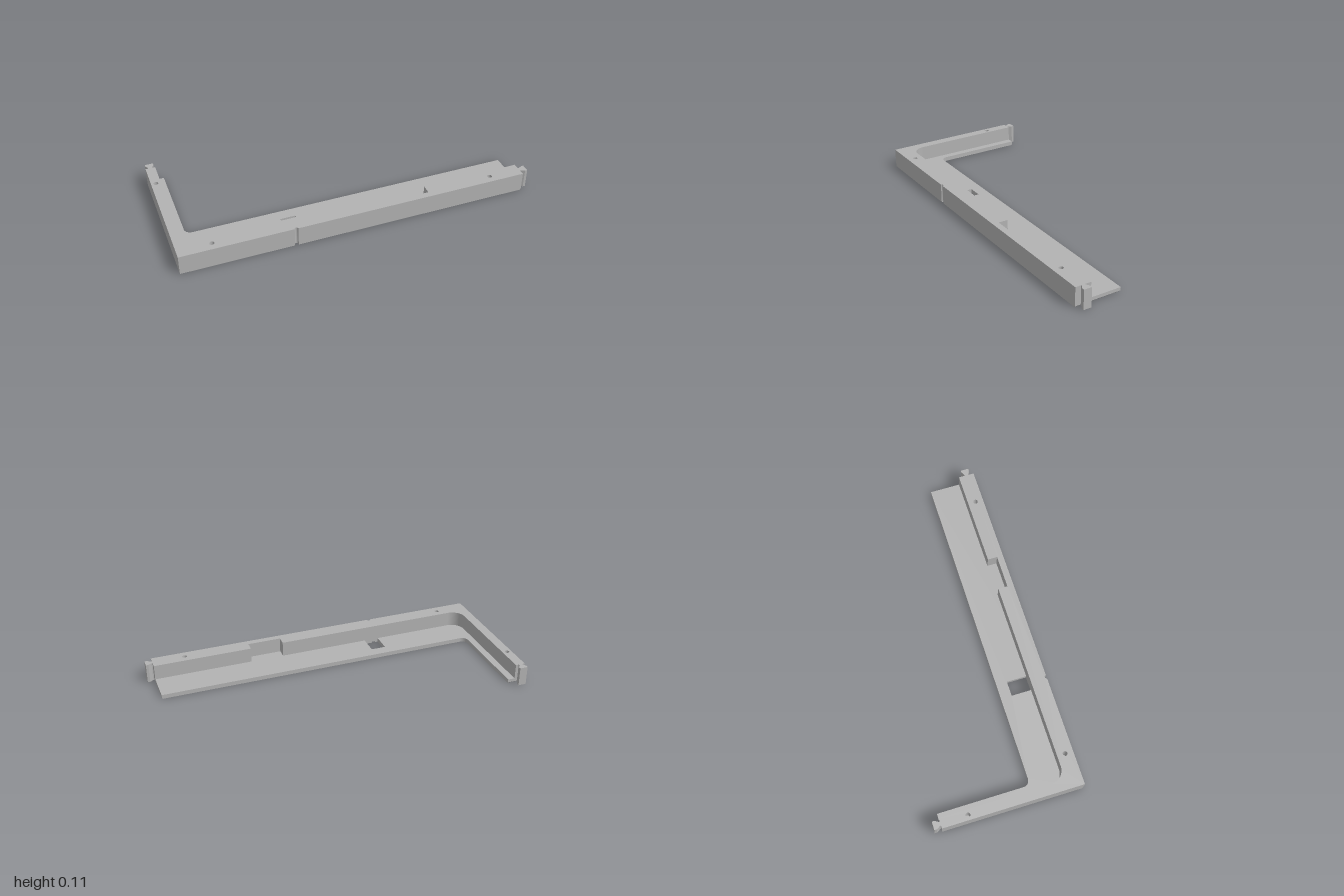
import * as THREE from 'three';

const H = 0.111, FLOOR = 0.0245, SKIN = 0.006;   // total, floor and bottom layer heights
const L = -1, R = 0.96, FRONT = 0.415, BACK = -0.377;
const GROOVE = -0.375, GR = 0.01;                // cable groove centre and radius
const WINDOW = [[-0.4, 0.324], [-0.4, 0.21], [-0.315, 0.21], [-0.315, 0.324]];
const BOLTS = [[-0.813, 0.369], [0.775, 0.369], [-0.973, -0.226]];

// Plan shapes are drawn as (x, -z) and extruded upwards
function slab(name, shape, y0, y1, material) {
  const geometry = new THREE.ExtrudeGeometry(shape, { depth: y1 - y0, bevelEnabled: false, curveSegments: 20 });
  geometry.rotateX(-Math.PI / 2).translate(0, y0, 0);
  const mesh = new THREE.Mesh(geometry, material);
  mesh.name = name;
  return mesh;
}

function polygon(points) {
  return new THREE.Shape(points.map(([x, z]) => new THREE.Vector2(x, -z)));
}

// L-shaped outline with a rounded inner corner; groove is 'round' or 'window'
function outline(innerX, innerZ, radius, groove, pocket) {
  const s = new THREE.Shape();
  s.moveTo(L, -FRONT);
  s.lineTo(GROOVE - GR, -FRONT);
  if (groove === 'window') {
    s.lineTo(GROOVE - GR, -0.324);
    WINDOW.forEach(([x, z]) => s.lineTo(x, -z));
    s.lineTo(GROOVE + GR, -0.324);
    s.lineTo(GROOVE + GR, -FRONT);
  } else {
    s.absarc(GROOVE, -FRONT, GR, Math.PI, 0, true);
  }
  s.lineTo(R, -FRONT);
  s.lineTo(R, -innerZ);
  if (pocket) {
    [[0.395, innerZ], [0.395, 0.379], [0.203, 0.379], [0.203, innerZ]].forEach(([x, z]) => s.lineTo(x, -z));
  }
  s.lineTo(innerX + radius, -innerZ);
  s.absarc(innerX + radius, -innerZ + radius, radius, -Math.PI / 2, -Math.PI, true);
  s.lineTo(innerX, -BACK);
  s.lineTo(L, -BACK);
  s.closePath();
  return s;
}

// Flared connector that slides into the neighbouring piece
function dovetail(name, x, z, turn, material) {
  const mesh = slab(name, polygon([[-0.004, 0.011], [0.006, 0.011], [0.026, 0.023], [0.04, 0.023],
    [0.04, -0.023], [0.026, -0.023], [0.006, -0.011], [-0.004, -0.011]]), 0, H, material);
  mesh.position.set(x, 0, z);
  mesh.rotation.y = turn;
  return mesh;
}

export function createModel() {
  const model = new THREE.Group();
  model.name = 'cornerFrame';
  const grey = new THREE.MeshStandardMaterial({ color: 0xb2b2b2 });
  grey.name = 'grey';

  // Bottom layer, with the cable groove and chamfered mating edges
  const bottom = slab('floorUnderside', outline(-0.905, 0.147, 0.037, 'window'), 0, SKIN, grey);
  const p = bottom.geometry.attributes.position;
  for (let i = 0; i < p.count; i++) {
    if (p.getY(i) > SKIN / 2) continue;
    if (p.getX(i) > R - 0.001) p.setX(i, R - SKIN);
    if (p.getZ(i) < BACK + 0.001) p.setZ(i, BACK + SKIN);
  }
  bottom.geometry.computeVertexNormals();
  model.add(bottom);

  // Floor ledge with the square window
  const floor = outline(-0.905, 0.147, 0.037, 'round');
  floor.holes.push(new THREE.Path(WINDOW.map(([x, z]) => new THREE.Vector2(x, -z))));
  model.add(slab('floor', floor, SKIN, FLOOR, grey));

  // Raised wall with the pocket and bolt holes
  const wall = outline(-0.945, 0.324, 0.075, 'round', true);
  for (const [x, z] of BOLTS) {
    wall.holes.push(new THREE.Path().absarc(x, -z, 0.013, 0, Math.PI * 2));
  }
  model.add(slab('wall', wall, FLOOR, H, grey));

  // Connectors at both free ends
  model.add(dovetail('sideConnector', R, 0.371, 0, grey));
  model.add(dovetail('backConnector', -0.973, BACK, Math.PI / 2, grey));
  return model;
}
